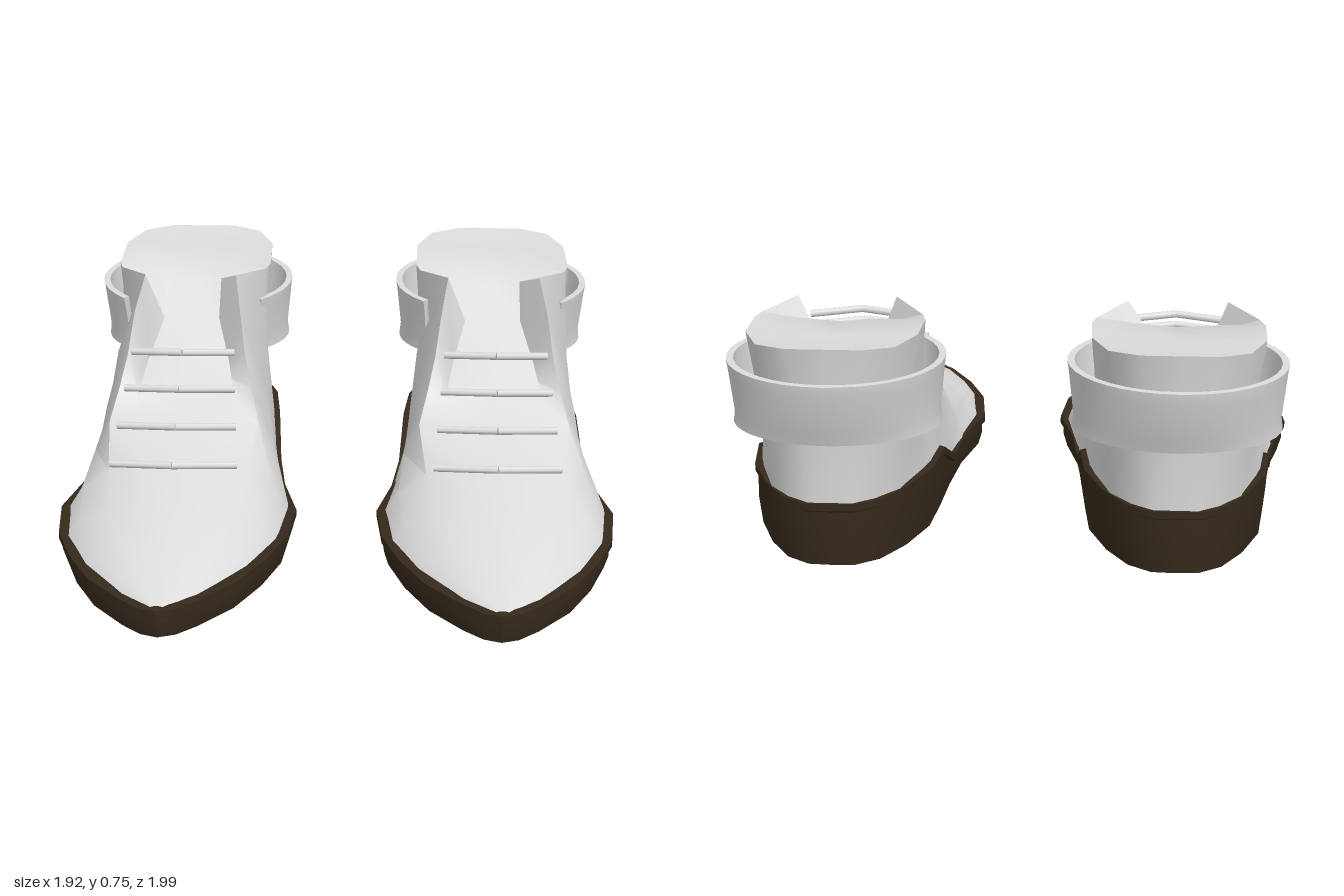
import * as THREE from 'three';
import { toCreasedNormals } from 'three/addons/utils/BufferGeometryUtils.js';

const white = new THREE.MeshStandardMaterial({ color: 0xdcdcdc, side: THREE.DoubleSide });
white.name = 'white leather';
const brown = new THREE.MeshStandardMaterial({ color: 0x35291b });
brown.name = 'dark brown sole';

// Skin a list of equal-length rings of [x, y, z]; outward = ring direction x point direction
function loft(rings, closed, crease = 0.7) {
  const pos = rings.flat().map((p) => new THREE.Vector3(...p));
  const n = rings[0].length;
  const index = [];
  const tri = (a, b, c) => {
    if (new THREE.Triangle(pos[a], pos[b], pos[c]).getArea() > 1e-7) index.push(a, b, c);
  };
  for (let i = 0; i < rings.length - 1; i++) {
    for (let j = 0; j < (closed ? n : n - 1); j++) {
      const k = (j + 1) % n;
      const a = i * n + j, b = i * n + k, c = (i + 1) * n + k, d = (i + 1) * n + j;
      tri(a, c, b);
      tri(a, d, c);
    }
  }
  const g = new THREE.BufferGeometry().setFromPoints(pos);
  g.setIndex(index);
  return toCreasedNormals(g, crease);
}

function part(name, geometry, material) {
  const m = new THREE.Mesh(geometry, material);
  m.name = name;
  return m;
}

// Sole: pointed outline, thin at the front and stepped up to a narrow wedge heel
function soleGeometry() {
  const half = [[0, -0.9], [0.08, -0.895], [0.16, -0.84], [0.235, -0.72], [0.3, -0.55],
    [0.32, -0.36], [0.335, -0.16], [0.36, 0.05], [0.41, 0.25], [0.39, 0.45],
    [0.33, 0.62], [0.245, 0.78], [0.13, 0.91], [0.06, 0.97], [0, 0.99]];
  const outline = [...half, ...half.slice(1, -1).reverse().map(([x, z]) => [-x, z])];
  const top = (z) => 0.115 + 0.1 * THREE.MathUtils.clamp((-0.16 - z) / 0.2, 0, 1);
  const ring = (sx, sz, yOf) => outline.map(([x, z]) => [x * sx, yOf(z), z * sz]);
  const bottom = (z) => 0.012 * THREE.MathUtils.clamp(z, 0, 1);
  return loft([
    ring(0, 0.985, bottom),
    ring(0.94, 0.985, bottom),
    ring(0.975, 0.992, (z) => top(z) * 0.45),
    ring(0.97, 0.992, (z) => top(z) - 0.03),
    ring(1, 1, (z) => top(z) - 0.025),
    ring(1, 1, top),
    ring(0.95, 0.98, (z) => top(z) + 0.002),
    ring(0, 0.98, (z) => top(z) + 0.002),
  ], true, 0.6);
}

// Upper: arches from toe to heel; the eyestay flaps peak beside the tongue,
// then the collar spreads and is filled almost level
function upperGeometry() {
  // z, base x/y, side x/y, edge x/y, inner x/y, centre y
  const sections = [
    [0.965, 0.03, 0.1, 0.025, 0.113, 0.02, 0.117, 0.01, 0.12, 0.12],
    [0.88, 0.14, 0.1, 0.115, 0.122, 0.08, 0.132, 0.035, 0.138, 0.14],
    [0.68, 0.28, 0.1, 0.24, 0.145, 0.155, 0.178, 0.07, 0.195, 0.2],
    [0.48, 0.365, 0.1, 0.315, 0.165, 0.215, 0.212, 0.1, 0.238, 0.245],
    [0.25, 0.39, 0.1, 0.335, 0.19, 0.24, 0.255, 0.12, 0.29, 0.295],
    [0.0, 0.35, 0.1, 0.32, 0.22, 0.265, 0.33, 0.16, 0.35, 0.36],
    [-0.08, 0.335, 0.1, 0.305, 0.26, 0.235, 0.43, 0.17, 0.395, 0.415],
    [-0.15, 0.325, 0.1, 0.295, 0.32, 0.21, 0.53, 0.16, 0.435, 0.46],
    [-0.22, 0.315, 0.13, 0.28, 0.38, 0.19, 0.66, 0.145, 0.48, 0.505],
    [-0.37, 0.3, 0.2, 0.275, 0.45, 0.165, 0.75, 0.1, 0.585, 0.595],
    [-0.5, 0.285, 0.2, 0.265, 0.45, 0.265, 0.73, 0.1, 0.69, 0.665],
    [-0.56, 0.27, 0.2, 0.26, 0.45, 0.28, 0.73, 0.14, 0.73, 0.72],
    [-0.75, 0.21, 0.2, 0.23, 0.45, 0.275, 0.74, 0.15, 0.735, 0.73],
    [-0.84, 0.14, 0.2, 0.16, 0.45, 0.22, 0.742, 0.12, 0.738, 0.735],
    [-0.89, 0.07, 0.2, 0.08, 0.45, 0.12, 0.745, 0.06, 0.744, 0.743],
  ];
  const rings = sections.map(([z, ...s]) => {
    const lean = (y) => (z < -0.8 ? z - 0.05 * Math.max(0, y - 0.4) / 0.35 : z);
    const half = [0, 2, 4, 6].map((k) => [s[k], s[k + 1], lean(s[k + 1])]);
    return [...half, [0, s[8], lean(s[8])],
      ...half.slice().reverse().map(([x, y, zz]) => [-x, y, zz])];
  });
  // close the heel on its centre line
  rings.push(rings[rings.length - 1].map(([, y, z]) => [0, y, z]));
  return loft(rings, false, 0.75);
}

// Ankle strap: thin flared band around the heel, its ends tucked in against the sides
function strapGeometry() {
  const profile = [[0.355, 0.34, 0.64], [0.35, 0.335, 0.605], [0.335, 0.28, 0.46], [0.34, 0.265, 0.42],
    [0.32, 0.245, 0.42], [0.315, 0.26, 0.46], [0.33, 0.31, 0.605], [0.332, 0.315, 0.64]];
  const rings = [];
  const steps = 28, reach = 2.35;
  for (let i = 0; i <= steps; i++) {
    const t = -reach + (2 * reach * i) / steps;
    rings.push(profile.map(([rx, rz, y]) => [rx * Math.sin(t), y, -0.655 - rz * Math.cos(t)]));
  }
  const collapse = (ring) => {
    const c = [0, 1, 2].map((k) => ring.reduce((sum, p) => sum + p[k], 0) / ring.length);
    return ring.map(() => c);
  };
  return loft([collapse(rings[0]), ...rings, collapse(rings[steps])], true, 0.6);
}

// Laces: four slightly bent bars floating over the tongue, with capped ends
function laces() {
  const group = new THREE.Group();
  group.name = 'laces';
  for (let i = 0; i < 4; i++) {
    const w = 0.18 + 0.012 * i, y = 0.595 - 0.081 * i, z = -0.005 + 0.138 * i;
    const middle = new THREE.Vector3(0, y, z);
    for (const s of [-1, 1]) {
      const end = new THREE.Vector3(s * w, y - 0.012, z - 0.035);
      const dir = end.clone().sub(middle);
      const g = new THREE.CylinderGeometry(0.013, 0.013, dir.length(), 8);
      const bar = part('lace', g, white);
      bar.quaternion.setFromUnitVectors(new THREE.Vector3(0, 1, 0), dir.clone().normalize());
      bar.position.copy(middle).add(end).multiplyScalar(0.5);
      group.add(bar);
    }
  }
  return group;
}

export function createModel() {
  const model = new THREE.Group();
  model.name = 'pair of shoes';
  const sole = soleGeometry(), upper = upperGeometry(), strap = strapGeometry();
  for (const [name, x] of [['leftShoe', 0.55], ['rightShoe', -0.55]]) {
    const shoe = new THREE.Group();
    shoe.name = name;
    shoe.add(part('sole', sole, brown), part('upper', upper, white),
      part('ankleStrap', strap, white), laces());
    shoe.position.x = x;
    model.add(shoe);
  }
  return model;
}
